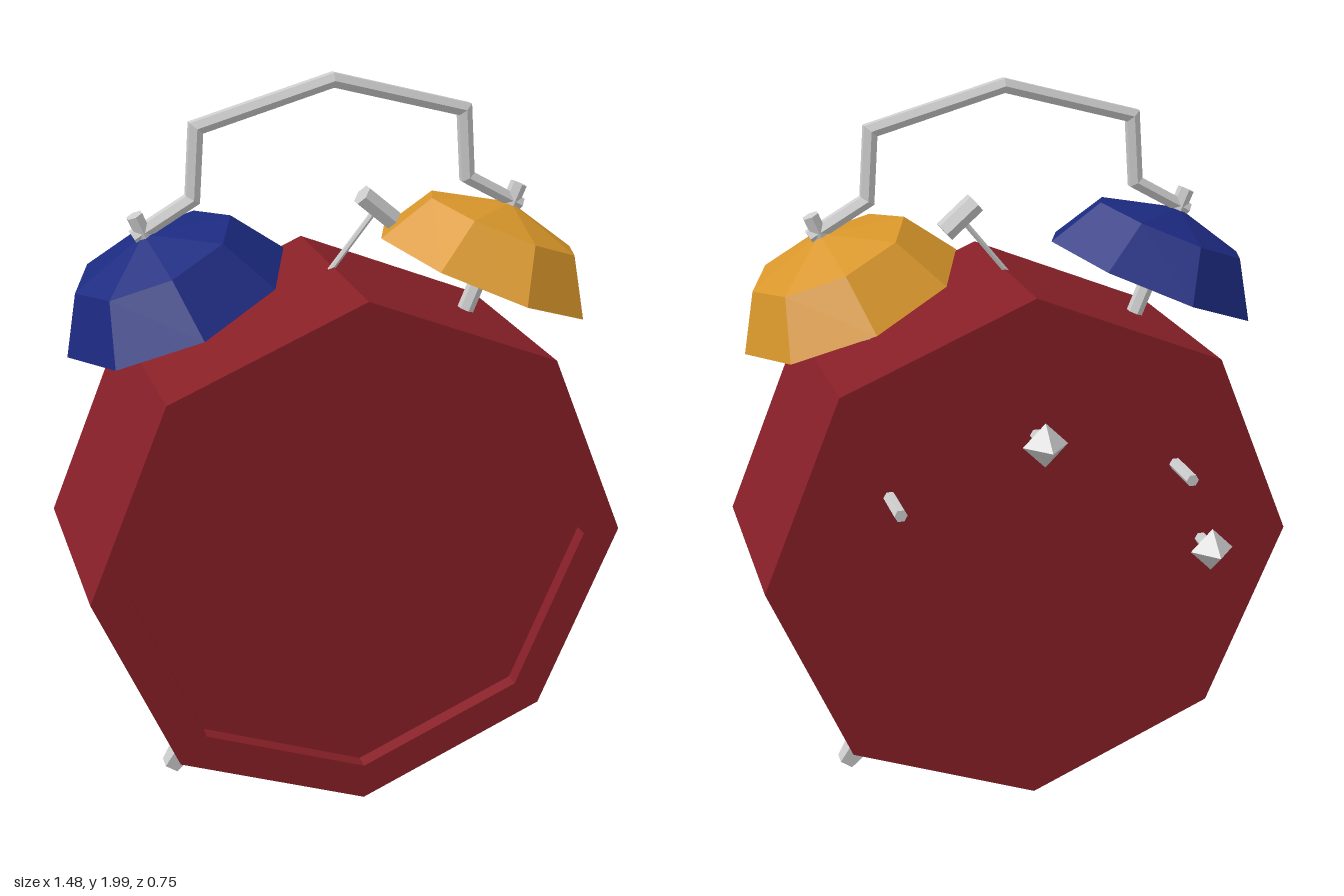
import * as THREE from 'three';

const Z = 0.06; // middle plane of the clock
const paint = (color) => new THREE.MeshStandardMaterial({ color, flatShading: true });
const metal = paint(0xcccccc);
const red = paint(0x871f27);
const gold = paint(0xd8962a);
const blue = paint(0x1c2a80);

function add(parent, name, geometry, material) {
  const mesh = new THREE.Mesh(geometry, material);
  mesh.name = name;
  parent.add(mesh);
  return mesh;
}

// Straight, optionally tapered bar from a to b
function bar(parent, name, a, b, r0, r1 = r0, sides = 6, turn = 0) {
  const from = new THREE.Vector3(...a), to = new THREE.Vector3(...b);
  const dir = to.clone().sub(from);
  const geometry = new THREE.CylinderGeometry(r1, r0, dir.length(), sides, 1, false, turn);
  const mesh = add(parent, name, geometry, metal);
  mesh.position.copy(from).add(to).multiplyScalar(0.5);
  mesh.quaternion.setFromUnitVectors(new THREE.Vector3(0, 1, 0), dir.normalize());
  return mesh;
}

// Faceted solid of revolution with eight sides
function octLathe(points) {
  return new THREE.LatheGeometry(points.map(([x, y]) => new THREE.Vector2(x, y)), 8);
}

// Hexagonal bar with mitred corners along a path in the xy plane
function mitredBar(path, r) {
  const pts = path.map(([x, y]) => new THREE.Vector2(x, y));
  const last = pts.length - 1, pos = [], index = [];
  pts.forEach((p, i) => {
    const before = pts[Math.max(i, 1)].clone().sub(pts[Math.max(i, 1) - 1]).normalize();
    const k = Math.min(i, last - 1);
    const after = pts[k + 1].clone().sub(pts[k]).normalize();
    const t = before.clone().add(after).normalize();
    const mitre = r / t.dot(after);
    for (let j = 0; j < 6; j++) {
      const a = Math.PI / 6 + j * Math.PI / 3;
      const c = Math.cos(a) * mitre;
      pos.push(p.x - t.y * c, p.y + t.x * c, Math.sin(a) * r);
    }
  });
  for (let i = 0; i < last; i++) {
    for (let j = 0; j < 6; j++) {
      const a = i * 6 + j, b = i * 6 + (j + 1) % 6;
      index.push(a, b, a + 6, b, b + 6, a + 6);
    }
  }
  for (let j = 1; j < 5; j++) {
    const e = last * 6;
    index.push(0, j + 1, j, e, e + j, e + j + 1);
  }
  const geometry = new THREE.BufferGeometry();
  geometry.setAttribute('position', new THREE.Float32BufferAttribute(pos, 3));
  geometry.setIndex(index);
  geometry.computeVertexNormals();
  return geometry;
}

export function createModel() {
  const clock = new THREE.Group();
  clock.name = 'alarmClock';

  // Octagonal case with a shallow recessed dial
  const body = add(clock, 'case', octLathe([
    [0, -0.235], [0.74, -0.235], [0.74, 0.36], [0.635, 0.36], [0.635, 0.32], [0, 0.32],
  ]), red);
  body.rotation.x = Math.PI / 2;
  body.position.y = 0.745;

  // Bells, their posts and the feet, mirrored left and right
  const tilt = Math.PI / 8;
  for (const s of [1, -1]) {
    const side = s > 0 ? 'left' : 'right';
    const bell = new THREE.Group();
    bell.name = side + 'BellAssembly';
    bell.position.set(s * 0.425, 1.43, Z);
    bell.rotation.z = -s * tilt;
    add(bell, side + 'Bell', octLathe([
      [0, 0], [0.314, 0], [0.222, 0.145], [0, 0.205],
    ]), s > 0 ? gold : blue);
    bar(bell, side + 'BellPost', [0, -0.2, 0], [0, 0.26, 0], 0.023);
    clock.add(bell);

    bar(clock, side + 'Foot', [s * 0.345, 0.215, Z], [s * 0.494, 0.017, Z],
      0.072, 0.029, 4, Math.PI / 4);
  }

  // Carrying handle
  const half = [[-0.53, 1.612], [-0.374, 1.7], [-0.36, 1.882]];
  const path = [...half, [0, 1.98], ...half.map(([x, y]) => [-x, y]).reverse()];
  add(clock, 'handle', mitredBar(path, 0.021), metal).position.z = Z;

  // Hammer
  bar(clock, 'hammerRod', [-0.02, 1.46, Z], [0.123, 1.637, Z], 0.008);
  bar(clock, 'hammerHead', [0.08, 1.674, Z], [0.166, 1.6, Z], 0.03);

  // Winding keys on the back
  for (const [x, y] of [[0, 1.11], [-0.485, 0.745]]) {
    bar(clock, 'keyShaft', [x, y, -0.22], [x, y, -0.32], 0.0175, 0.0175, 6, Math.PI / 2);
    bar(clock, 'keyTip', [x, y, -0.315], [x, y, -0.38], 0.062, 0, 4);
  }

  // Setting pins on the back
  for (const x of [-0.4, 0.4]) {
    bar(clock, 'settingPin', [x, 0.98, -0.22], [x, 0.98, -0.36], 0.0175, 0.0175, 6, Math.PI / 2);
  }

  return clock;
}
